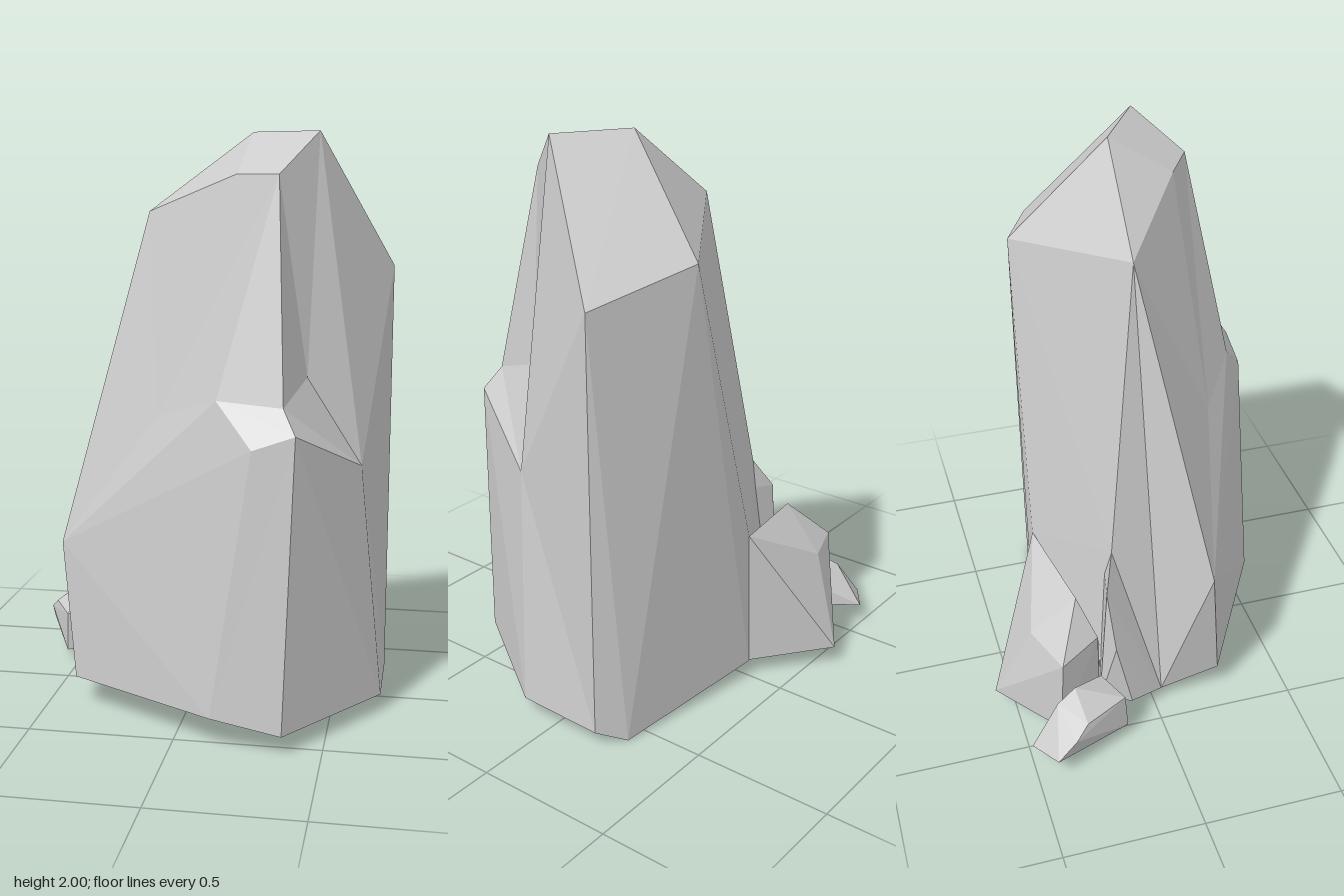
import * as THREE from 'three';
import { ConvexGeometry } from 'three/addons/geometries/ConvexGeometry.js';

const stone = new THREE.MeshStandardMaterial({ color: 0xcccccc, flatShading: true });

// Corners of the standing stone, named by where they sit
const P = {
  peakL: [0.19, 2, 0], peakR: [0.43, 2, 0.15],
  browL: [0.165, 1.86, 0.22], browR: [0.315, 1.86, 0.31],
  shoulderL: [-0.18, 1.73, -0.02], shoulderR: [0.67, 1.54, -0.19], shoulderB: [0.29, 1.63, -0.33],
  ledgeTop: [0.355, 1.13, 0.48], ledge: [0.40, 1.05, 0.53],
  notchL: [0.13, 1.14, 0.43], notchLow: [0.26, 1.0, 0.53], notchR: [0.41, 1.2, 0.27],
  crease: [-0.09, 1.06, 0.285], hipR: [0.59, 0.89, 0.18], hipL: [-0.455, 0.58, 0.2],
  flank: [-0.33, 0.69, -0.14], backLow: [0, 0.57, -0.35],
  b1: [0.67, 0.05, -0.19], b2: [0.67, 0.06, 0.13], b3: [0.37, 0.065, 0.57],
  b4: [0.13, 0.105, 0.555], b5: [-0.40, 0.1, 0.25], b6: [-0.40, 0.05, 0.03],
  b7: [-0.38, 0.07, -0.2], b8: [0, 0.06, -0.36], b9: [0.58, 0, -0.26],
};

// Facets, corners counter-clockwise from outside
const FACETS = [
  // crown
  'peakL browL browR peakR', 'peakL peakR shoulderR shoulderB', 'peakL shoulderB shoulderL',
  // front, above and below the ledge
  'shoulderL crease browL peakL', 'shoulderL hipL crease', 'crease notchL browR browL',
  'hipL notchLow notchL crease', 'notchL notchLow ledge ledgeTop', 'notchL ledgeTop browR',
  'hipL b5 b4 notchLow', 'b4 b3 ledge notchLow',
  // right side
  'browR ledgeTop notchR', 'ledgeTop ledge hipR notchR', 'browR notchR peakR',
  'peakR notchR hipR shoulderR', 'hipR b2 b1 shoulderR', 'ledge b3 b2 hipR',
  // back
  'shoulderR b1 b9 shoulderB', 'shoulderB b9 b8 backLow', 'shoulderB backLow flank shoulderL',
  'backLow b8 b7 flank',
  // left side
  'shoulderL flank b6 hipL', 'flank b7 b6', 'hipL b6 b5',
  // underside
  'b9 b1 b2 b3 b4 b5 b6 b7 b8',
];

// Fans each facet into triangles
function facetGeometry(points, facets) {
  const pos = [];
  for (const facet of facets) {
    const c = facet.split(' ').map((n) => points[n]);
    for (let i = 1; i < c.length - 1; i++) pos.push(...c[0], ...c[i], ...c[i + 1]);
  }
  const g = new THREE.BufferGeometry();
  g.setAttribute('position', new THREE.Float32BufferAttribute(pos, 3));
  g.computeVertexNormals();
  return g;
}

const hull = (pts) => new ConvexGeometry(pts.map((p) => new THREE.Vector3(...p)));

export function createModel() {
  const group = new THREE.Group();
  const add = (name, geometry) => {
    const mesh = new THREE.Mesh(geometry, stone);
    mesh.name = name;
    group.add(mesh);
  };

  add('standingStone', facetGeometry(P, FACETS));

  // Spur leaning on the back left foot
  add('backSpur', hull([
    [0, 0.57, -0.35], [-0.36, 0.54, -0.28], [-0.20, 0.40, -0.42], [-0.33, 0.39, -0.44],
    [-0.52, 0.38, -0.37], [-0.43, 0.40, -0.22], [-0.26, 0.07, -0.57], [-0.18, 0.07, -0.45],
    [0, 0.06, -0.35], [-0.52, 0.08, -0.38], [-0.41, 0.06, -0.21], [-0.2, 0.07, -0.15],
  ]));

  // Narrow slab against the left side
  add('sideSlab', hull([
    [-0.33, 0.69, -0.14], [-0.41, 0.57, -0.18], [-0.46, 0.35, -0.16], [-0.46, 0.08, -0.10],
    [-0.42, 0.06, -0.01], [-0.40, 0.05, 0.03], [-0.41, 0.07, -0.21], [-0.2, 0.07, -0.1],
    [-0.25, 0.6, -0.15],
  ]));

  // Small fallen block
  add('looseBlock', hull([
    [-0.57, 0.08, -0.50], [-0.67, 0.08, -0.43], [-0.54, 0.05, -0.14], [-0.43, 0.05, -0.20],
    [-0.66, 0.15, -0.36], [-0.625, 0.19, -0.31], [-0.54, 0.19, -0.15], [-0.43, 0.21, -0.21],
    [-0.52, 0.27, -0.33], [-0.55, 0.24, -0.40],
  ]));

  return group;
}
